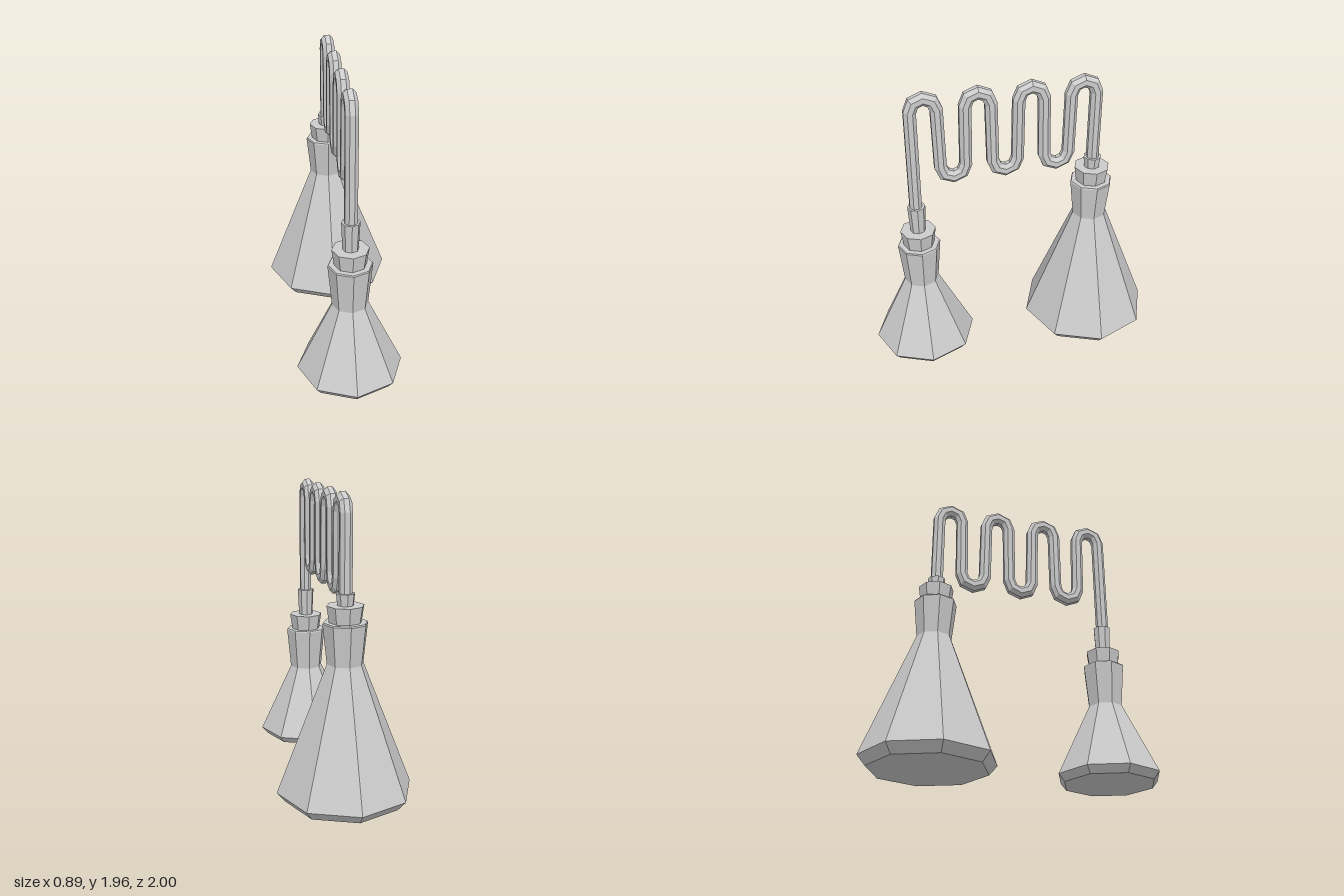
import * as THREE from 'three';

const material = new THREE.MeshStandardMaterial({ color: 0xcccccc, flatShading: true });

// Eight-sided turned part from [radius, height] pairs, bottom to top
function turned(name, profile) {
  const points = profile.map(([r, y]) => new THREE.Vector2(r, y));
  const mesh = new THREE.Mesh(new THREE.LatheGeometry(points, 8), material);
  mesh.name = name;
  return mesh;
}

// Conical flask with flared neck, tapered stopper and spout
function flask(name, z, s) {
  const group = new THREE.Group();
  group.name = name;
  group.position.z = z;
  group.add(
    turned('flaskBody', [[0, 0], [s.baseRadius, 0], [s.radius, s.edge], [0.118, s.neck],
      [0.145, s.rim - 0.008], [0.14, s.rim], [0, s.rim]]),
    turned('stopper', [[0, s.rim - 0.03], [0.1, s.rim - 0.03], [0.12, s.stopper], [0, s.stopper]]),
    turned('spout', [[0, s.stopper - 0.03], [0.05, s.stopper - 0.03], [0.06, s.spout], [0, s.spout]]));
  return group;
}

// Octagonal pipe swept with mitred joints along [z, y] points
function pipeGeometry(path, radius) {
  const sides = 8, pos = [], index = [];
  const pts = path.map(([z, y]) => new THREE.Vector2(z, y));
  pts.forEach((p, i) => {
    const before = p.clone().sub(pts[Math.max(i - 1, 0)]).normalize();
    const after = pts[Math.min(i + 1, pts.length - 1)].clone().sub(p).normalize();
    const along = before.clone().add(after).normalize();
    const mitre = 1 / along.dot(i ? before : after);
    for (let k = 0; k < sides; k++) {
      const a = (k + 0.5) / sides * Math.PI * 2;
      const out = Math.cos(a) * radius * mitre;
      pos.push(Math.sin(a) * radius, p.y + along.x * out, p.x - along.y * out);
    }
  });
  for (let i = 0; i < pts.length - 1; i++) {
    for (let k = 0; k < sides; k++) {
      const a = i * sides + k, b = i * sides + (k + 1) % sides;
      index.push(a, a + sides, b, b, a + sides, b + sides);
    }
  }
  const geometry = new THREE.BufferGeometry();
  geometry.setAttribute('position', new THREE.Float32BufferAttribute(pos, 3));
  geometry.setIndex(index);
  geometry.computeVertexNormals();
  return geometry;
}

export function createModel() {
  const model = new THREE.Group();
  model.name = 'connectedFlasks';
  model.add(
    flask('smallFlask', 0.65, { baseRadius: 0.31, radius: 0.35, edge: 0.05, neck: 0.535, rim: 0.83, stopper: 0.94, spout: 1.13 }),
    flask('largeFlask', -0.555, { baseRadius: 0.39, radius: 0.445, edge: 0.065, neck: 0.9, rim: 1.165, stopper: 1.27, spout: 1.345 }));

  // Serpentine pipe: four upper bends alternating with three lower ones
  const step = 0.1725, bend = 0.083;
  const path = [[0.655, 1.0]];
  for (let i = 0; i < 7; i++) {
    const up = i % 2 === 0;
    const cz = 0.65 - (i + 0.5) * step;
    for (let k = 0; k <= 4; k++) {
      const a = k * Math.PI / 4;
      path.push([cz + bend * Math.cos(a), up ? 1.83 + bend * Math.sin(a) : 1.415 - bend * Math.sin(a)]);
    }
  }
  path.push([-0.555, 1.25]);
  const pipeMaterial = material.clone();
  pipeMaterial.side = THREE.DoubleSide;
  const pipe = new THREE.Mesh(pipeGeometry(path, 0.043), pipeMaterial);
  pipe.name = 'coiledPipe';
  model.add(pipe);
  return model;
}
